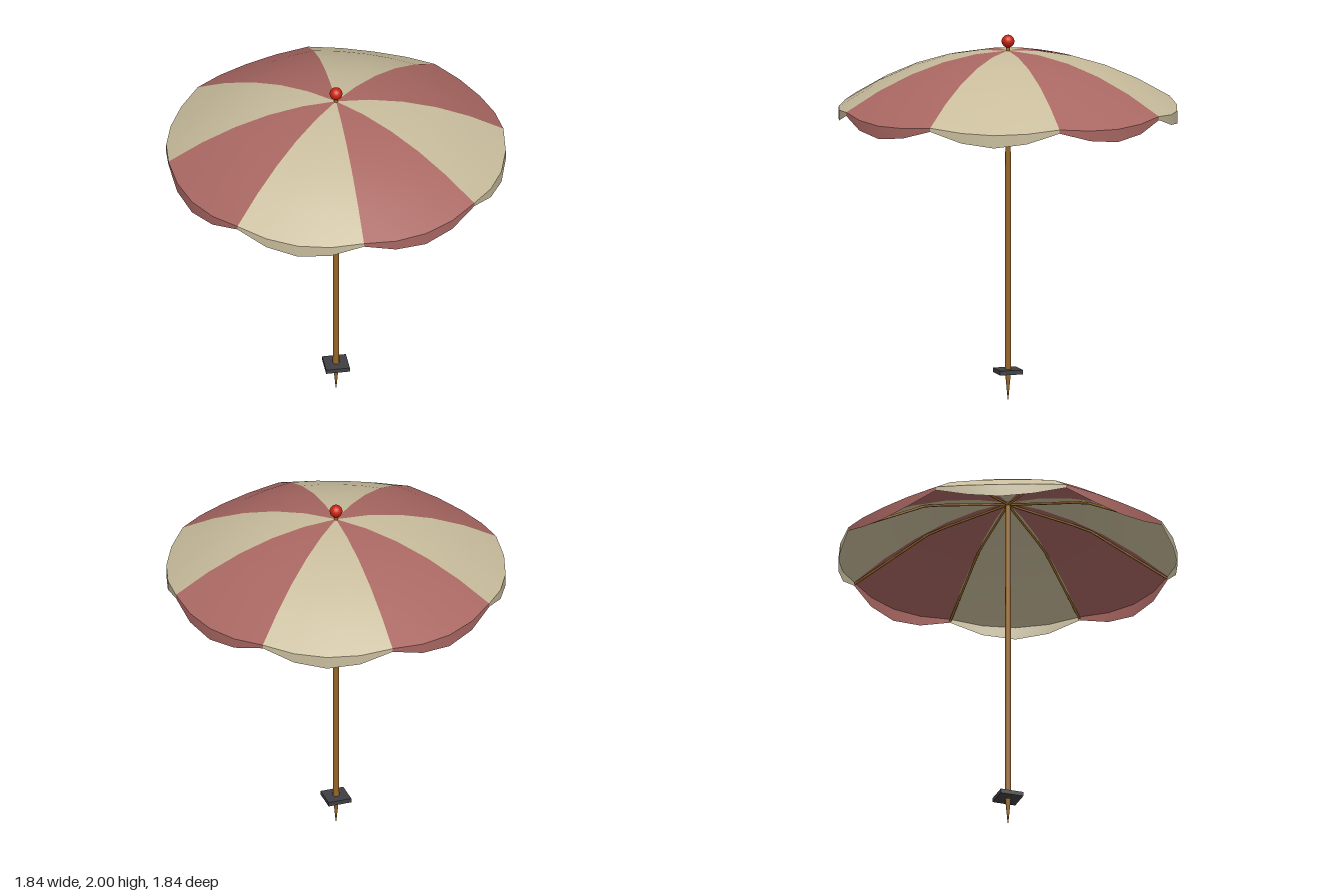
import * as THREE from 'three';

const PANELS = 8, SEGS = 4, RINGS = 5;
const RADIUS = 0.92, TOP = 1.914, DROP = 0.294;

// Height of the canopy at radius fraction u, and t across one panel (0 and 1 lie on ribs)
const canopyY = (u, t) => TOP - DROP * u * u - 0.025 * u * u * Math.sin(Math.PI * t);

function material(name, hex, side = THREE.FrontSide) {
  const m = new THREE.MeshStandardMaterial({ color: hex, side });
  m.name = name;
  return m;
}

// Grid surface from rows of points, facing up/outward
function gridGeometry(rows, cols, point) {
  const pos = [], index = [];
  for (let i = 0; i <= rows; i++)
    for (let j = 0; j <= cols; j++) pos.push(...point(i / rows, j / cols));
  for (let i = 0; i < rows; i++)
    for (let j = 0; j < cols; j++) {
      const a = i * (cols + 1) + j, b = a + cols + 1;
      if (i > 0 || rows === 1) index.push(a, b + 1, a + 1);
      index.push(a, b, b + 1);
    }
  const g = new THREE.BufferGeometry();
  g.setAttribute('position', new THREE.Float32BufferAttribute(pos, 3));
  g.setIndex(index);
  g.computeVertexNormals();
  return g;
}

export function createModel() {
  const group = new THREE.Group();
  group.name = 'parasol';
  const cream = material('cream fabric', 0xc8bc9c, THREE.DoubleSide);
  const red = material('faded red fabric', 0xa96762, THREE.DoubleSide);
  const wood = material('wood', 0x976626);
  const dark = material('dark plate', 0x3f3f43);
  const ballRed = material('finial red', 0xc8210f);

  const add = (name, geometry, mat, y = 0, parent = group) => {
    const mesh = new THREE.Mesh(geometry, mat);
    mesh.name = name;
    mesh.position.y = y;
    parent.add(mesh);
    return mesh;
  };

  // Canopy panels with a scalloped valance hanging from the rim
  const panel = gridGeometry(RINGS, SEGS, (u, t) => {
    const a = t * Math.PI * 2 / PANELS, r = u * RADIUS;
    return [r * Math.sin(a), canopyY(u, t), r * Math.cos(a)];
  });
  const valance = gridGeometry(1, SEGS, (v, t) => {
    const a = t * Math.PI * 2 / PANELS;
    const depth = 0.02 + 0.05 * Math.sin(Math.PI * t);
    return [RADIUS * Math.sin(a), canopyY(1, t) - v * depth, RADIUS * Math.cos(a)];
  });

  // Rib in two straight pieces, just under the fabric
  const ribPoints = [0.01, 0.5, 0.995].map(
    u => new THREE.Vector3(0, canopyY(u, 0) - 0.014, u * RADIUS));
  const ribPath = new THREE.CurvePath();
  ribPath.add(new THREE.LineCurve3(ribPoints[0], ribPoints[1]));
  ribPath.add(new THREE.LineCurve3(ribPoints[1], ribPoints[2]));
  const rib = new THREE.TubeGeometry(ribPath, 8, 0.007, 6);

  for (let i = 0; i < PANELS; i++) {
    const section = new THREE.Group();
    section.name = 'canopySection' + (i + 1);
    section.rotation.y = i * Math.PI * 2 / PANELS;
    const fabric = i % 2 ? cream : red;
    add('panel', panel, fabric, 0, section);
    add('valance', valance, fabric, 0, section);
    add('rib', rib, wood, 0, section);
    group.add(section);
  }

  // Pole, ground spike and foot plate
  add('pole', new THREE.CylinderGeometry(0.014, 0.018, 1.77, 12), wood, 1.025);
  add('spike', new THREE.CylinderGeometry(0.016, 0.002, 0.145, 12), wood, 0.0725);
  add('footPlate', new THREE.BoxGeometry(0.13, 0.024, 0.13), dark, 0.155);

  // Finial
  add('finialNeck', new THREE.CylinderGeometry(0.009, 0.012, 0.04, 10), wood, 1.922);
  add('finialBall', new THREE.SphereGeometry(0.035, 16, 12), ballRed, 1.965);

  return group;
}
